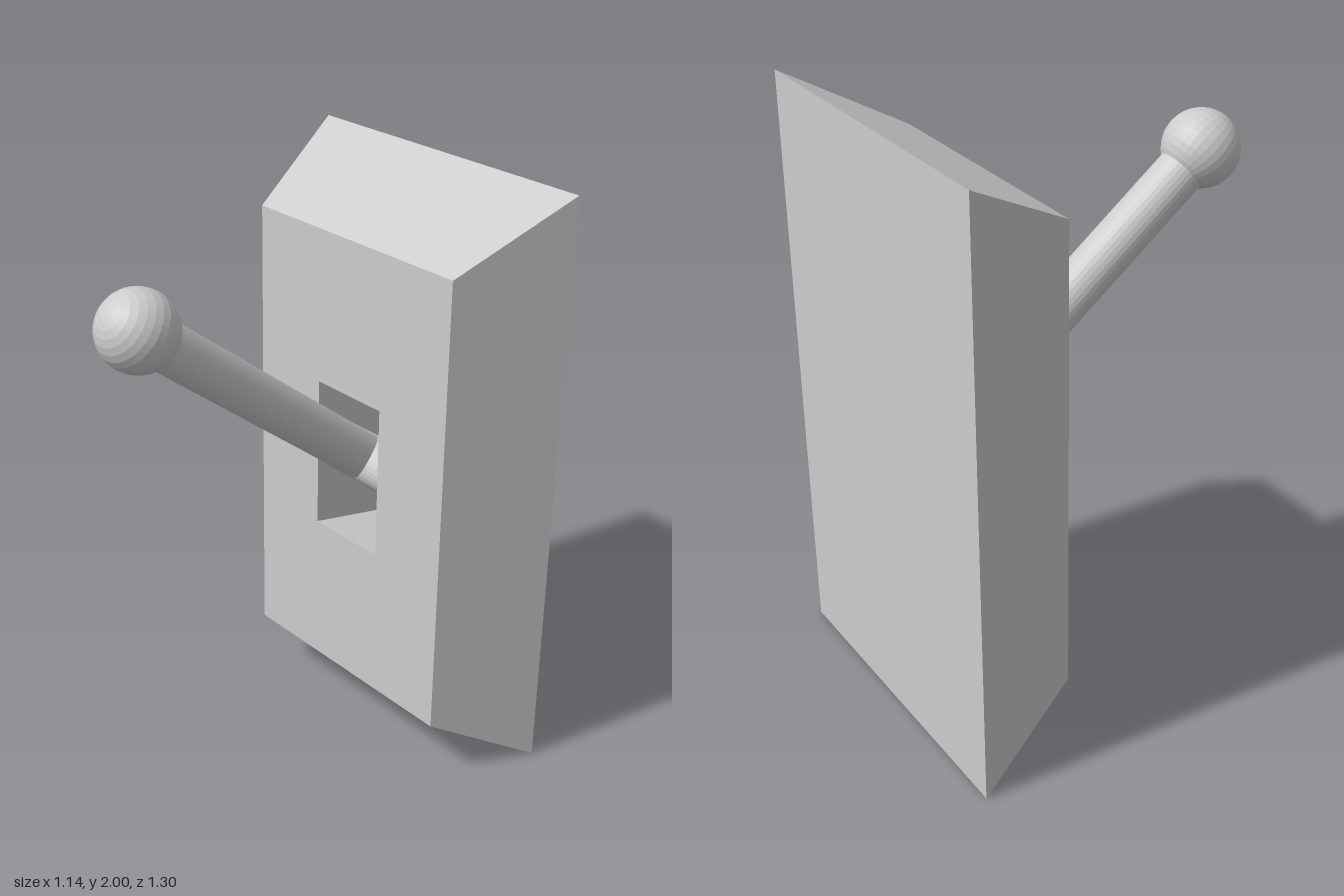
import * as THREE from 'three';

// Rectangle ring, counter-clockwise seen from +z
const ring = (w, y0, y1, z) => [[-w, y0, z], [w, y0, z], [w, y1, z], [-w, y1, z]];

// Housing: skin rings from the back plate, round the front and into the slot
function housingGeometry() {
  const rings = [
    ring(0.57, 0, 2, -0.65),
    ring(0.45, 0.215, 1.79, -0.27),
    ring(0.15, 0.74, 1.265, -0.27),
    ring(0.165, 0.67, 1.335, -0.62),
  ];
  const pos = [];
  const quad = (a, b, c, d) => [a, b, c, a, c, d].forEach((p) => pos.push(...p));
  for (let r = 0; r < rings.length - 1; r++) {
    for (let i = 0; i < 4; i++) {
      const j = (i + 1) % 4;
      quad(rings[r][i], rings[r][j], rings[r + 1][j], rings[r + 1][i]);
    }
  }
  quad(...[...rings[0]].reverse()); // back plate
  quad(...rings[3]); // slot bottom
  const g = new THREE.BufferGeometry();
  g.setAttribute('position', new THREE.Float32BufferAttribute(pos, 3));
  g.computeVertexNormals();
  return g;
}

export function createModel() {
  const model = new THREE.Group();
  model.name = 'leverSwitch';
  const grey = new THREE.MeshStandardMaterial({ color: 0xcccccc, flatShading: true });
  grey.name = 'light grey';

  const add = (name, geometry, parent = model) => {
    const mesh = new THREE.Mesh(geometry, grey);
    mesh.name = name;
    parent.add(mesh);
    return mesh;
  };

  add('housing', housingGeometry());

  // Axle across the slot
  const pivot = new THREE.Vector3(-0.008, 1.004, -0.37);
  const axle = add('axle', new THREE.CylinderGeometry(0.084, 0.084, 0.32, 32));
  axle.rotation.z = Math.PI / 2;
  axle.position.set(0, pivot.y, pivot.z);

  // Lever tilted forward from the axle, with a ball on its end
  const tip = new THREE.Vector3(-0.008, 1.69, 0.525);
  const direction = tip.clone().sub(pivot);
  const length = direction.length();
  const lever = new THREE.Group();
  lever.name = 'lever';
  lever.position.copy(pivot);
  lever.quaternion.setFromUnitVectors(new THREE.Vector3(0, 1, 0), direction.normalize());
  model.add(lever);

  const rod = new THREE.CylinderGeometry(0.079, 0.079, length, 32);
  add('leverRod', rod.translate(0, length / 2, 0), lever);
  add('leverBall', new THREE.SphereGeometry(0.128, 32, 16), lever).position.y = length;

  return model;
}
